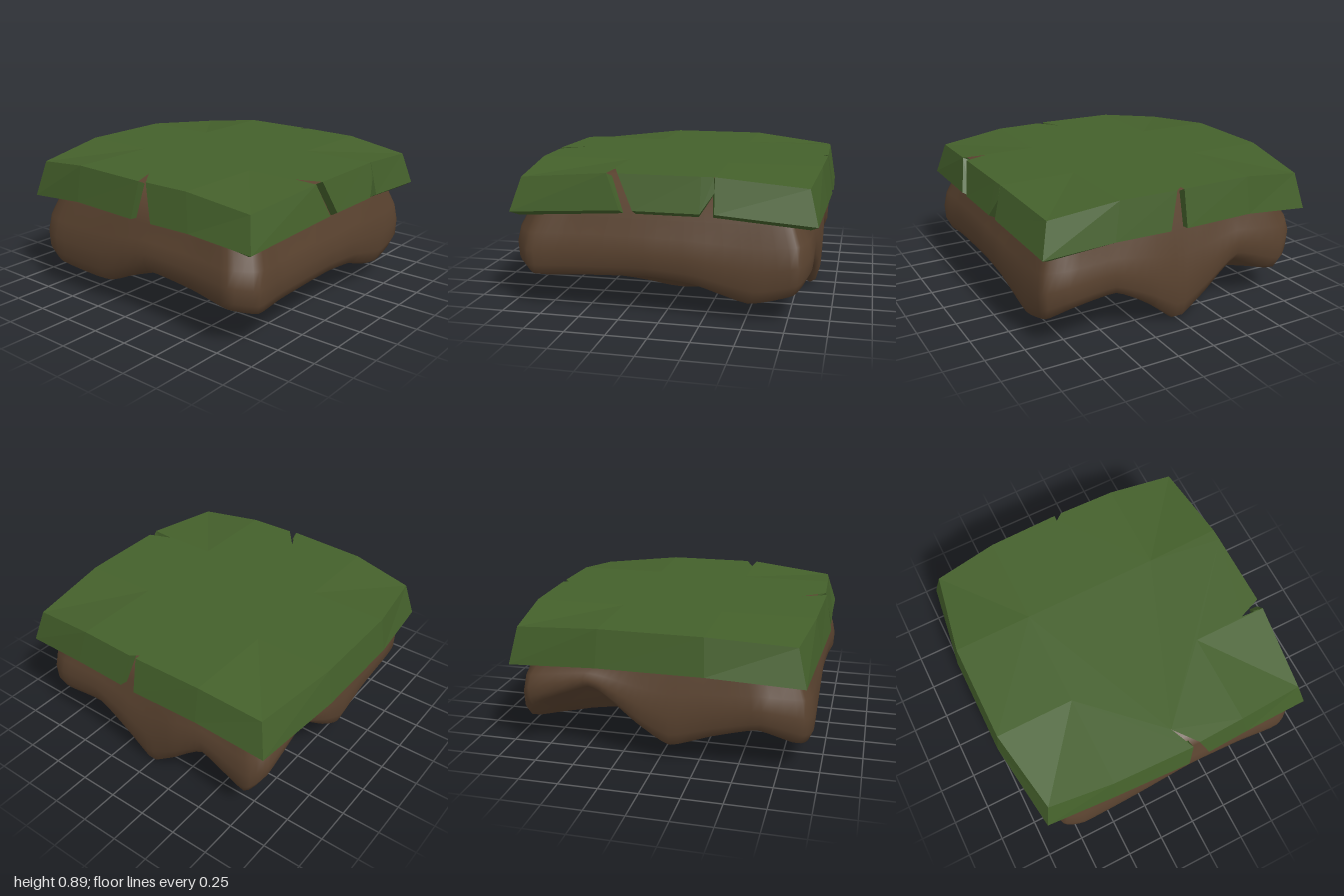
import * as THREE from 'three';

const clamp01 = (v) => Math.min(1, Math.max(0, v));
const mix = (a, b, t) => a + (b - a) * t;

// The cap sags towards its four corners
const sag = (x, z) => 0.055 * clamp01((Math.abs(x) - 0.33) / 0.54) * clamp01((Math.abs(z) - 0.45) / 0.42);
const TOP = 0.887;

// Turf edge panels, counterclockwise from above: top x, top z, bottom x, bottom z, (bottom height)
const PANELS = [
  [[-0.92, 0.14, -0.965, 0.21], [-0.91, 0.45, -0.955, 0.5], [-0.88, 0.89, -0.945, 0.945], [-0.32, 0.945, -0.23, 0.995]],
  [[-0.25, 0.945, -0.15, 0.995], [0.25, 0.942, 0.25, 0.995], [0.325, 0.94, 0.33, 0.96, 0.77]],
  [[0.33, 0.94, 0.335, 0.99], [0.87, 0.89, 0.925, 0.945], [0.91, 0.45, 0.95, 0.5], [0.92, 0.07, 0.96, 0.13]],
  [[0.92, 0.02, 0.965, 0.02], [0.91, -0.45, 0.95, -0.45], [0.87, -0.87, 0.92, -0.92], [0.32, -0.965, 0.33, -1],
    [-0.32, -0.965, -0.33, -1], [-0.85, -0.87, -0.91, -0.92], [-0.91, -0.45, -0.95, -0.45], [-0.93, 0.09, -0.975, 0.06]],
];
// Inner tip of the split after each panel (null: the split stays in the skirt)
const SPLITS = [[-0.31, 0.79], null, [0.88, 0.02], [-0.77, 0.02]];

function meshFrom(positions, index, material, name) {
  const g = new THREE.BufferGeometry();
  g.setAttribute('position', new THREE.Float32BufferAttribute(positions, 3));
  g.setIndex(index);
  g.computeVertexNormals();
  const mesh = new THREE.Mesh(g, material);
  mesh.name = name;
  return mesh;
}

// Flat cross in the middle plus four drooping corner pieces
function turfTop(material) {
  const outline = PANELS.flatMap((panel, i) => (SPLITS[i] ? [...panel, SPLITS[i]] : panel));
  const toPoint = ([x, z]) => new THREE.Vector2(x, -z);
  const isCorner = ([x, z]) => Math.abs(x) > 0.8 && Math.abs(z) > 0.8;
  const inner = ([x, z]) => [Math.sign(x) * 0.32, Math.sign(z) * 0.45];
  const shapes = [new THREE.Shape(outline.map((p) => toPoint(isCorner(p) ? inner(p) : p)))];
  outline.forEach((p, i) => {
    if (isCorner(p)) shapes.push(new THREE.Shape([inner(p), outline[i - 1], p, outline[i + 1]].map(toPoint)));
  });
  const g = new THREE.ShapeGeometry(shapes).rotateX(-Math.PI / 2);
  const p = g.attributes.position;
  for (let i = 0; i < p.count; i++) p.setY(i, TOP - sag(p.getX(i), p.getZ(i)));
  g.computeVertexNormals();
  const mesh = new THREE.Mesh(g, material);
  mesh.name = 'turfTop';
  return mesh;
}

// Flared skirt panel with a lip (bevelled along the front), an inner face and closed ends
function turfSkirt(panel, material) {
  const pos = [], idx = [];
  for (const [tx, tz, bx, bz, height = 0.65] of panel) {
    const d = sag(tx, tz);
    const bevel = tz > 0.85 ? 0.028 : 0.004;
    pos.push(tx, TOP - d, tz, bx, height + bevel - d, bz);
    pos.push(bx * 0.95, height - d, bz * 0.95, tx * 0.94, 0.86 - d, tz * 0.94);
  }
  for (let i = 0; i < panel.length - 1; i++) {
    for (let k = 0; k < 3; k++) {
      const a = i * 4 + k, b = a + 4;
      idx.push(a, a + 1, b, b, a + 1, b + 1);
    }
  }
  const e = (panel.length - 1) * 4;
  idx.push(0, 2, 1, 0, 3, 2, e, e + 1, e + 2, e, e + 2, e + 3);
  return meshFrom(pos, idx, material, 'turfSkirt');
}

// Lower rim of the soil: x, height, z, counterclockwise from above
const RIM = [
  [-0.93, 0.28, 0.5], [-0.945, 0.24, 0.78], [-0.83, 0.21, 0.92], [-0.6, 0.22, 0.91], [-0.1, 0.24, 0.92],
  [0.2, 0.21, 0.92], [0.55, 0.11, 0.91], [0.8, 0.17, 0.89], [0.87, 0.24, 0.75], [0.87, 0.27, 0.45],
  [0.88, 0.13, 0.2], [0.88, 0, 0.03], [0.88, 0, -0.03], [0.88, 0.13, -0.2], [0.87, 0.31, -0.43],
  [0.88, 0.18, -0.76], [0.8, 0.32, -0.87], [0.45, 0.46, -0.86], [0.33, 0.41, -0.86], [0.13, 0.24, -0.86],
  [-0.08, 0.11, -0.86], [-0.35, 0.2, -0.86], [-0.64, 0.28, -0.87], [-0.88, 0.19, -0.81], [-0.93, 0.16, -0.68],
  [-0.92, 0.14, -0.27], [-0.92, 0.3, 0.12],
];
// Rings from top to bottom: spread, blend from rim to upper edge, blend to underside
const RINGS = [
  [0, 1.45, 0], [0.9, 1.45, 0], [0.95, 1, 0], [1.0, 0.72, 0], [1.02, 0.45, 0], [1.015, 0.2, 0],
  [0.985, 0.04, 0], [0.94, 0, 0], [0.86, 0, 0.25], [0.7, 0, 0.7], [0.5, 0, 0.95], [0.3, 0, 1], [0.12, 0, 1], [0, 0, 1],
];

function soil(material) {
  const n = 108;
  const curve = new THREE.CatmullRomCurve3(RIM.map((p) => new THREE.Vector3(...p)), true, 'catmullrom', 0.25);
  const pos = [], idx = [];
  RINGS.forEach(([s, up, under], r) => {
    for (let i = 0; i < n; i++) {
      const p = curve.getPoint(i / n);
      const x = p.x * s, z = p.z * s;
      const rim = Math.max(0, p.y);
      // Hanging belly below the middle
      const belly = 0.16 - 0.12 * Math.exp(-((x - 0.03) ** 2) / 0.18 - (z - 0.3) ** 4 / 0.02);
      const y = up > 1 ? 0.8 : mix(mix(rim, 0.6, up), belly, under);
      pos.push(x, y, z);
      if (r < RINGS.length - 1) {
        const a = r * n + i, b = r * n + (i + 1) % n;
        idx.push(a, a + n, b, b, a + n, b + n);
      }
    }
  });
  return meshFrom(pos, idx, material, 'soil');
}

export function createModel() {
  const group = new THREE.Group();
  group.name = 'groundBlock';
  const green = new THREE.MeshStandardMaterial({ color: 0x44602b, flatShading: true, side: THREE.DoubleSide });
  const brown = new THREE.MeshStandardMaterial({ color: 0x59422f });
  group.add(turfTop(green), soil(brown));
  PANELS.forEach((panel) => group.add(turfSkirt(panel, green)));
  return group;
}
